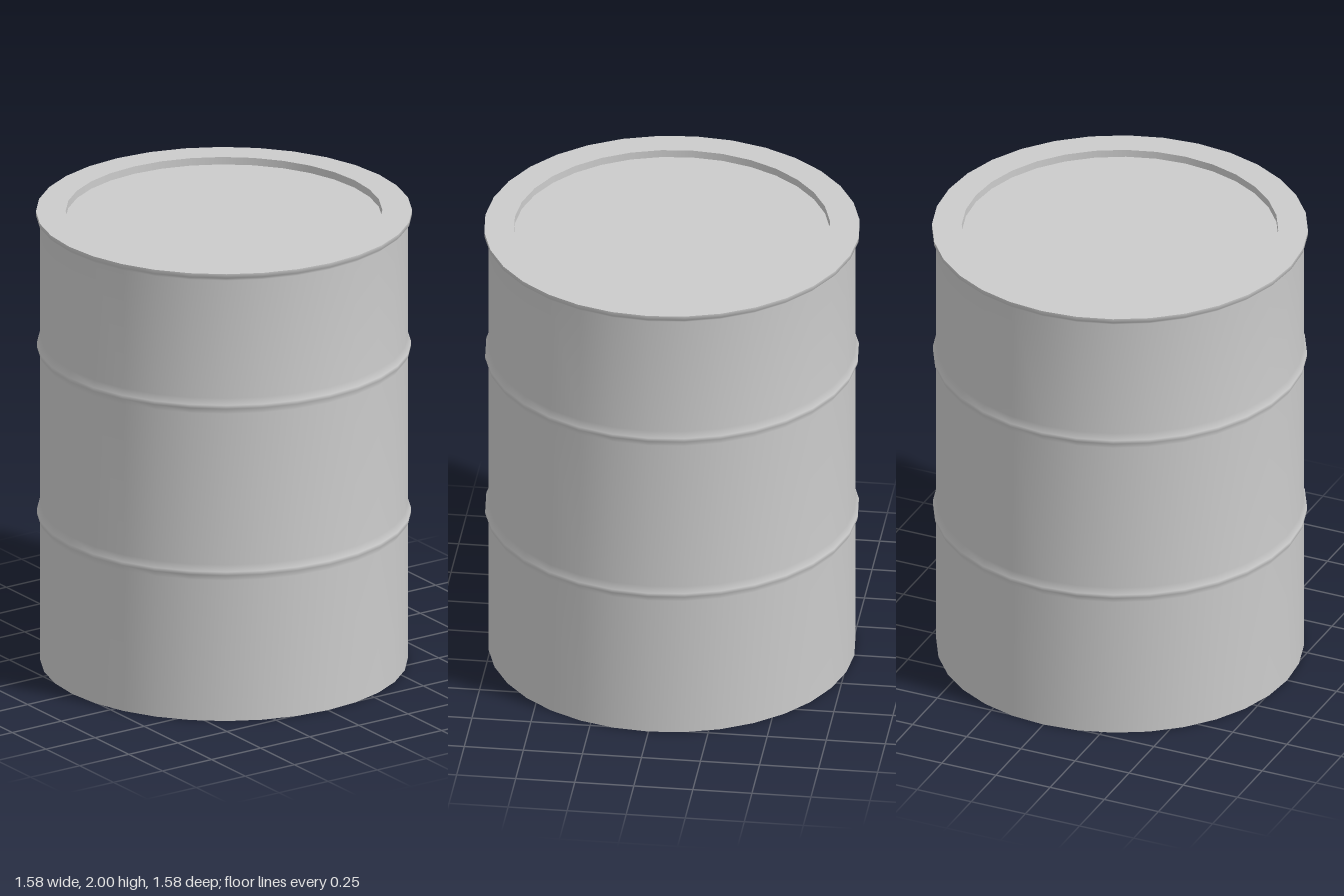
import * as THREE from 'three';

const SIDES = 32;
const BODY = 0.772, RIB = 0.786, LIP = 0.79, RECESS = 0.665;
const LID_Y = 1.967;

export function createModel() {
  const model = new THREE.Group();
  model.name = 'barrel';
  const steel = new THREE.MeshStandardMaterial({ color: 0xcccccc });
  steel.name = 'grey steel';

  const add = (name, geometry) => {
    const mesh = new THREE.Mesh(geometry, steel);
    mesh.name = name;
    model.add(mesh);
    return mesh;
  };
  const lathe = (points) =>
    new THREE.LatheGeometry(points.map(([r, y]) => new THREE.Vector2(r, y)), SIDES);
  const disc = (name, radius, y, turn) => {
    const mesh = add(name, new THREE.CircleGeometry(radius, SIDES));
    mesh.rotation.x = turn;
    mesh.position.y = y;
  };

  // Smooth wall with two rolled ribs and a flared lip
  const profile = [[BODY, 0]];
  for (const y of [0.662, 1.405]) {
    profile.push([BODY, y - 0.035], [RIB, y - 0.008], [RIB, y + 0.008], [BODY, y + 0.035]);
  }
  profile.push([BODY, 1.965], [LIP, 1.982], [LIP, 2]);
  add('wall', lathe(profile));

  // Flat rim and the short wall down to the sunken lid
  add('rim', lathe([[LIP, 2], [RECESS, 2]]));
  add('recessWall', lathe([[RECESS, 2], [RECESS, LID_Y]]));

  // Lid and base
  disc('lid', RECESS, LID_Y, -Math.PI / 2);
  disc('base', BODY, 0, Math.PI / 2);

  return model;
}
